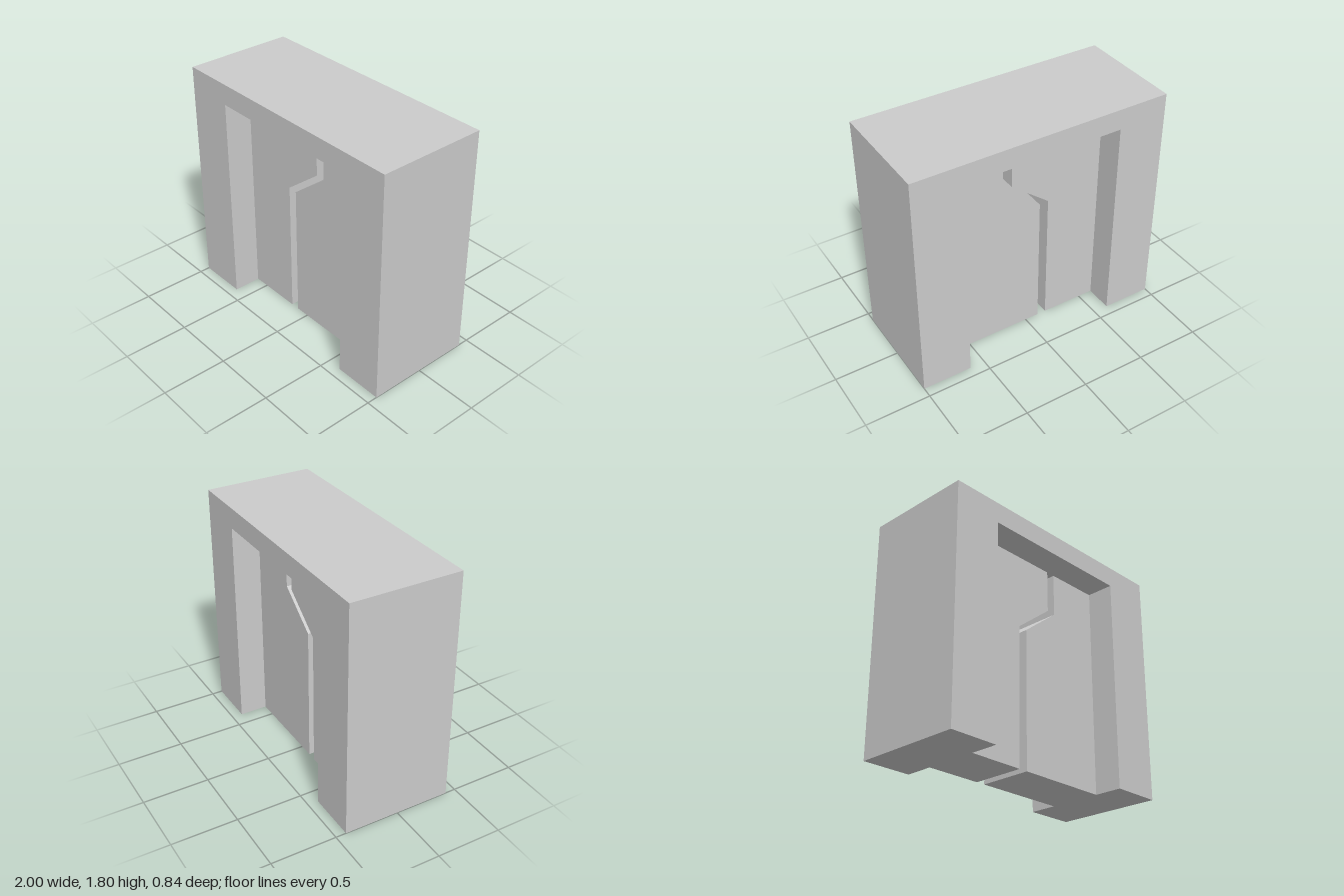
import * as THREE from 'three';

const W = 1, H = 1.8, D = 0.84;            // frame half width, height, depth
const OPEN_X = 0.617, OPEN_Y = 1.64;       // doorway half width and height
const DOOR_D = 0.41;                       // door thickness

const material = new THREE.MeshStandardMaterial({ color: 0xcccccc, flatShading: true });

// Extrude an outline, centred on z = 0
function slab(name, points, depth) {
  const shape = new THREE.Shape(points.map(([x, y]) => new THREE.Vector2(x, y)));
  const geometry = new THREE.ExtrudeGeometry(shape, { depth, bevelEnabled: false });
  geometry.translate(0, 0, -depth / 2);
  const mesh = new THREE.Mesh(geometry, material);
  mesh.name = name;
  return mesh;
}

export function createModel() {
  const group = new THREE.Group();
  group.name = 'slidingDoorway';

  // Thick frame: two jambs and a lintel
  group.add(slab('doorFrame', [
    [-W, 0], [-OPEN_X, 0], [-OPEN_X, OPEN_Y], [OPEN_X, OPEN_Y],
    [OPEN_X, 0], [W, 0], [W, H], [-W, H],
  ], D));

  // Two recessed door leaves with a stepped gap between them
  group.add(slab('rightDoorLeaf', [
    [-OPEN_X, 0], [-0.18, 0], [-0.18, 1.07], [0.125, 1.31], [0.125, OPEN_Y], [-OPEN_X, OPEN_Y],
  ], DOOR_D));
  group.add(slab('leftDoorLeaf', [
    [OPEN_X, 0], [OPEN_X, OPEN_Y], [0.195, OPEN_Y], [0.195, 1.305], [-0.11, 1.065], [-0.11, 0],
  ], DOOR_D));

  return group;
}
